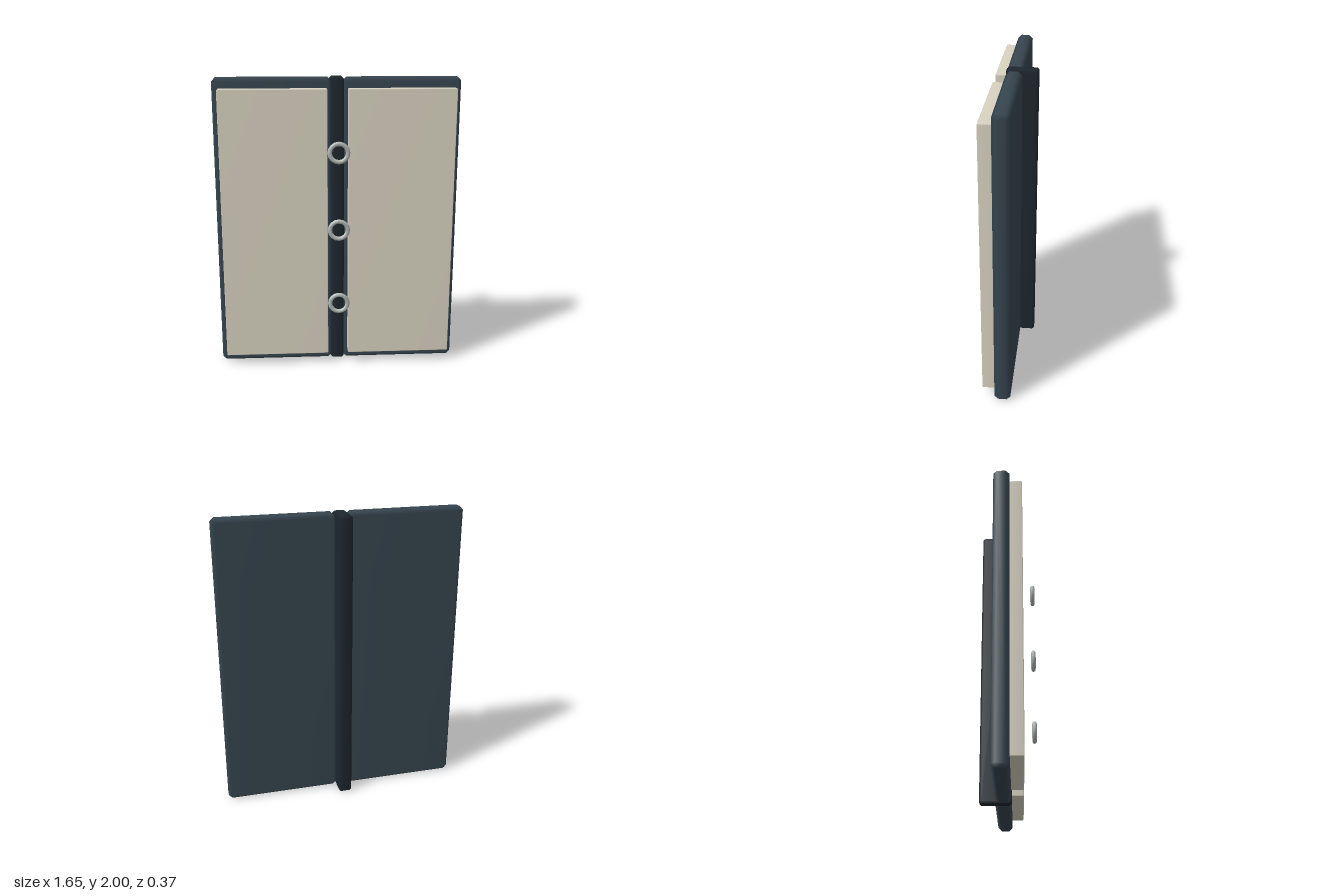
import * as THREE from 'three';
import { ConvexGeometry } from 'three/addons/geometries/ConvexGeometry.js';
import { mergeVertices } from 'three/addons/utils/BufferGeometryUtils.js';

// Box with one chamfer on every edge and smooth normals across it
function chamferBox(w, h, d, c) {
  const points = [];
  for (const sx of [-1, 1]) for (const sy of [-1, 1]) for (const sz of [-1, 1]) {
    for (let axis = 0; axis < 3; axis++) {
      const inset = [c, c, c];
      inset[axis] = 0;
      points.push(new THREE.Vector3(
        sx * (w / 2 - inset[0]), sy * (h / 2 - inset[1]), sz * (d / 2 - inset[2])));
    }
  }
  const hull = new ConvexGeometry(points);
  hull.deleteAttribute('normal');
  const geometry = mergeVertices(hull, 1e-4);
  geometry.computeVertexNormals();
  return geometry;
}

export function createModel() {
  const group = new THREE.Group();
  const coverMat = new THREE.MeshStandardMaterial({ color: 0x36454f });
  const spineMat = new THREE.MeshStandardMaterial({ color: 0x1d262e });
  const pageMat = new THREE.MeshStandardMaterial({ color: 0xd8d2c0 });
  const ringMat = new THREE.MeshStandardMaterial({ color: 0xb0b8b4 });

  const add = (name, geometry, material, x, y, z) => {
    const mesh = new THREE.Mesh(geometry, material);
    mesh.name = name;
    mesh.position.set(x, y, z);
    group.add(mesh);
  };

  // Cover boards with a block of pages on each
  const cover = chamferBox(0.785, 2, 0.105, 0.025);
  const pages = chamferBox(0.715, 1.855, 0.095, 0.005);
  for (const [side, s] of [['left', 1], ['right', -1]]) {
    add(side + 'Cover', cover, coverMat, s * 0.4325, 1, -0.0345);
    add(side + 'Pages', pages, pageMat, s * 0.4275, 1.0025, 0.0515);
  }

  // Spine standing out behind the covers
  add('spine', chamferBox(0.09, 2, 0.207, 0.014), spineMat, 0, 1, -0.0835);

  // Binder rings
  const ring = new THREE.TorusGeometry(0.06, 0.015, 8, 16);
  [0.483, 1.004, 1.525].forEach((y, i) => add('ring' + (i + 1), ring, ringMat, 0, y, 0.172));

  return group;
}
